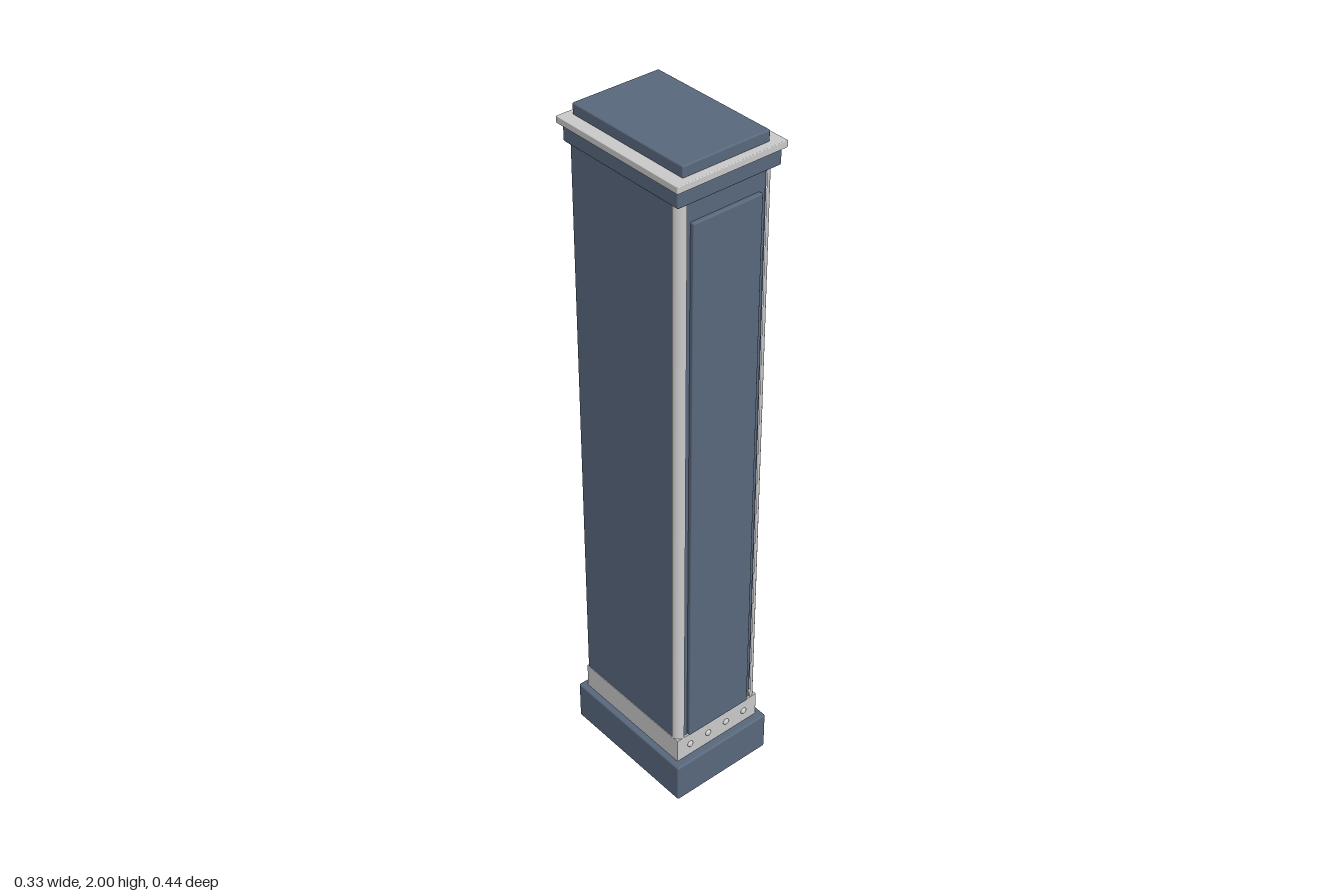
import * as THREE from 'three';
import { RoundedBoxGeometry } from 'three/addons/geometries/RoundedBoxGeometry.js';

const slate = new THREE.MeshStandardMaterial({ color: 0x5a697e });
const grey = new THREE.MeshStandardMaterial({ color: 0xcccccc });

export function createModel() {
  const model = new THREE.Group();
  model.name = 'pillar';

  const add = (name, geometry, material, x = 0, y = 0, z = 0) => {
    const mesh = new THREE.Mesh(geometry, material);
    mesh.name = name;
    mesh.position.set(x, y, z);
    model.add(mesh);
    return mesh;
  };

  // Softly bevelled block, symmetric in x, given by its y and z limits
  const block = (name, material, halfWidth, y0, y1, z0, z1, bevel) => add(
    name, new RoundedBoxGeometry(halfWidth * 2, y1 - y0, z1 - z0, 2, bevel),
    material, 0, (y0 + y1) / 2, (z0 + z1) / 2);

  // Foot and metal skirt
  block('base', slate, 0.164, 0, 0.125, -0.222, 0.222, 0.006);
  block('skirt', grey, 0.146, 0.12, 0.203, -0.202, 0.198, 0.001);

  // Shaft with both front corners notched for the corner trims
  const w = 0.144, inner = 0.123, back = -0.197, notch = 0.173, front = 0.192;
  const outline = new THREE.Shape([
    [-w, -back], [w, -back], [w, -notch], [inner, -notch],
    [inner, -front], [-inner, -front], [-inner, -notch], [-w, -notch],
  ].map(([x, y]) => new THREE.Vector2(x, y)));
  const shaft = new THREE.ExtrudeGeometry(outline, { depth: 1.71, bevelEnabled: false });
  shaft.rotateX(-Math.PI / 2);
  add('shaft', shaft, slate, 0, 0.2, 0);

  // Rounded metal trims on the front corners
  for (const side of [1, -1]) {
    const trim = new THREE.CylinderGeometry(0.024, 0.024, 1.71, 10, 1, false,
      side > 0 ? 0 : -Math.PI / 2, Math.PI / 2);
    add(side > 0 ? 'leftCornerTrim' : 'rightCornerTrim', trim, grey, side * 0.122, 1.055, 0.174);
  }

  // Raised front panel
  block('frontPanel', slate, 0.107, 0.205, 1.847, 0.18, 0.204, 0.004);

  // Row of rivets on the skirt
  for (let i = 0; i < 4; i++) {
    const rivet = add('rivet', new THREE.SphereGeometry(0.01, 12, 8), grey, -0.1 + i * 0.0663, 0.165, 0.198);
    rivet.scale.z = 0.7;
  }

  // Stepped top: collar, metal plate and lid
  block('collar', slate, 0.158, 1.905, 1.953, -0.209, 0.208, 0.005);
  block('topPlate', grey, 0.167, 1.951, 1.97, -0.221, 0.217, 0.002);
  block('lid', slate, 0.132, 1.968, 2, -0.203, 0.194, 0.004);

  return model;
}
